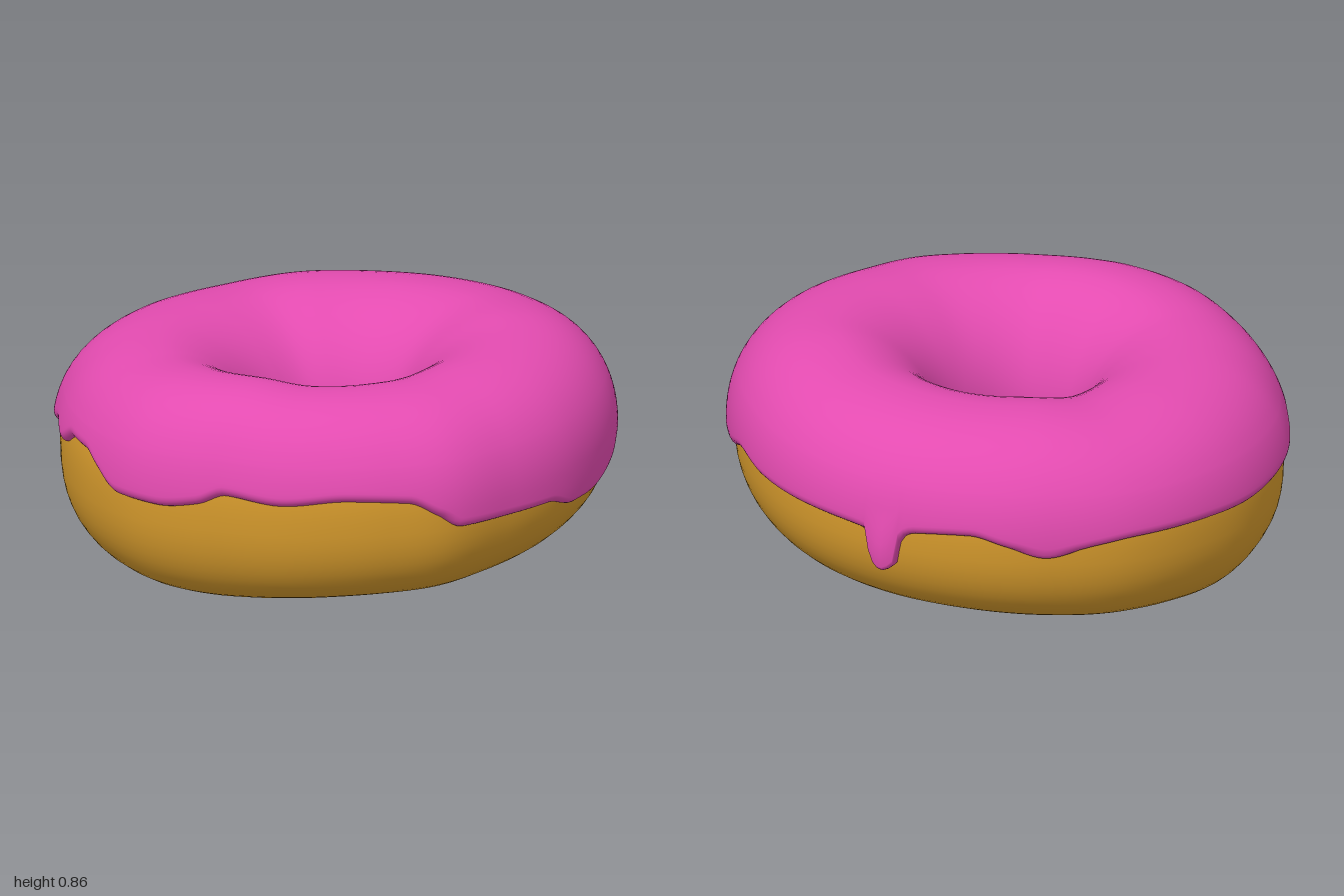
import * as THREE from 'three';

const RAD = Math.PI / 180;
const AROUND = 320;
const THICK = 0.03; // icing thickness
// Superellipse exponents: upper outside, lower outside, hole side
const OUT_EXP = 2.2, LOW_EXP = 2.4, IN_EXP = 1.87;

// Smooth periodic curve through [degrees, value] pairs without overshoot
function around(points) {
  const n = points.length;
  const at = (i) => {
    const k = ((i % n) + n) % n;
    return [points[k][0] + 360 * Math.floor(i / n), points[k][1]];
  };
  const slope = (i) => (at(i + 1)[1] - at(i)[1]) / (at(i + 1)[0] - at(i)[0]);
  const tangent = (i) => {
    const a = slope(i - 1), b = slope(i);
    return a * b <= 0 ? 0 : (2 * a * b) / (a + b);
  };
  return (deg) => {
    let i = -1;
    while (at(i + 1)[0] <= deg) i++;
    const [x0, y0] = at(i), [x1, y1] = at(i + 1);
    const d = x1 - x0, t = (deg - x0) / d, u = 1 - t;
    return y0 * (1 + 2 * t) * u * u + d * tangent(i) * t * u * u
      + y1 * t * t * (3 - 2 * t) - d * tangent(i + 1) * t * t * u;
  };
}

// Degrees run from +x (0) through the front, +z (90)
const outerRadius = around([[0, 1], [20, 1.003], [38, 0.995], [52, 1.01], [66, 0.985], [78, 0.97],
  [90, 0.963], [101, 0.957], [110, 0.975], [127, 1], [140, 0.993], [155, 0.987], [166, 0.988],
  [180, 1], [198, 0.997], [212, 0.99], [230, 0.983], [250, 0.96], [270, 0.95], [290, 0.96],
  [310, 0.973], [330, 0.98]]);
const holeRadius = around([[0, 0.25], [44, 0.268], [90, 0.305], [123, 0.287], [155, 0.237],
  [180, 0.195], [204, 0.17], [250, 0.165], [292, 0.19], [330, 0.234]]);
const bottomY = around([[0, 0.15], [45, 0.1], [75, 0.08], [90, 0.065], [105, 0.047], [122, 0.037],
  [150, 0.03], [180, 0.015], [197, 0], [215, 0.02], [240, 0.045], [270, 0.075],
  [300, 0.1], [330, 0.13]]);
const topY = around([[0, 0.86], [30, 0.845], [50, 0.83], [85, 0.82], [105, 0.832], [125, 0.82],
  [150, 0.8], [180, 0.8], [203, 0.797], [225, 0.79], [250, 0.81], [270, 0.815], [315, 0.84],
  [345, 0.865]]);
// Height of the icing's dripping outer edge
const edgeY = around([[0, 0.41], [14, 0.365], [20, 0.365], [28, 0.4], [51, 0.4], [56, 0.45],
  [62, 0.5], [75, 0.51], [90, 0.485], [102, 0.5], [108, 0.46], [118, 0.43], [128, 0.43],
  [136, 0.485], [142, 0.52], [150, 0.52], [157, 0.47], [163, 0.5], [172, 0.46], [186, 0.43],
  [200, 0.42], [215, 0.43], [230, 0.435], [240, 0.42], [250, 0.385], [259, 0.43], [267, 0.465],
  [279, 0.455], [282, 0.43], [283.5, 0.33], [286, 0.31], [288.5, 0.33], [290.5, 0.44],
  [298, 0.455], [322, 0.475], [333, 0.5], [342, 0.46], [354, 0.45]]);
// Height of the icing's edge inside the hole
const innerEdgeY = around([[45, 0.45], [100, 0.39], [180, 0.38], [340, 0.39]]);

const sPow = (v, p) => Math.sign(v) * Math.abs(v) ** p;

// Dough cross-section at an angle around the ring
function section(deg) {
  const hole = holeRadius(deg) + THICK;
  const outer = outerRadius(deg) - THICK;
  const top = topY(deg) - THICK, low = bottomY(deg);
  return { a: deg * RAD, r: (hole + outer) / 2, w: (outer - hole) / 2, y: (top + low) / 2, h: (top - low) / 2 };
}

const exponent = (outside, above) => (!outside ? IN_EXP : above ? OUT_EXP : LOW_EXP);

// Point on the section, raised off the dough by lift; theta 0 is outermost, 90 degrees is the top
function place(s, theta, lift) {
  const c = Math.cos(theta), n = Math.sin(theta);
  const p = 2 / exponent(c > 0, n > 0);
  const r = s.r + (s.w + lift) * sPow(c, p);
  const y = s.y + (s.h + lift) * sPow(n, p);
  return [r * Math.cos(s.a), y, r * Math.sin(s.a)];
}

// Angle on the section at a given height
function thetaAt(s, y, outside) {
  const v = (y - s.y) / s.h;
  return Math.asin(THREE.MathUtils.clamp(sPow(v, exponent(outside, v > 0) / 2), -0.95, 0.95));
}

// Skin a closed ring of cross-sections
function ring(rows, closed, point) {
  const pos = [], index = [];
  for (let i = 0; i < AROUND; i++) {
    const deg = (i / AROUND) * 360, s = section(deg);
    for (let j = 0; j < rows; j++) pos.push(...point(s, deg, j));
    const next = (i + 1) % AROUND;
    for (let j = 0; j < (closed ? rows : rows - 1); j++) {
      const k = (j + 1) % rows;
      const A = i * rows + j, B = i * rows + k, C = next * rows + j, D = next * rows + k;
      index.push(A, B, C, B, D, C);
    }
  }
  const g = new THREE.BufferGeometry();
  g.setAttribute('position', new THREE.Float32BufferAttribute(pos, 3));
  g.setIndex(index);
  g.computeVertexNormals();
  return g;
}

export function createModel() {
  const doughColor = new THREE.MeshStandardMaterial({ color: 0xd4992c });
  doughColor.name = 'goldenDough';
  const icingColor = new THREE.MeshStandardMaterial({ color: 0xe34bb0, side: THREE.DoubleSide });
  icingColor.name = 'pinkIcing';

  // Dough ring
  const dough = new THREE.Mesh(
    ring(56, true, (s, deg, j) => place(s, (j / 56) * Math.PI * 2, 0)), doughColor);
  dough.name = 'dough';

  // Icing shell: rounded lips at both edges, a skirt that follows the drips, and an even cap
  const LIP = 6, SKIRT = 8, CAP = 28, LAST = 2 * LIP + SKIRT + CAP;
  const lip = 0.08, shoulder = 0.5;
  const icing = new THREE.Mesh(ring(LAST + 1, false, (s, deg, j) => {
    const start = thetaAt(s, edgeY(deg), true);
    const end = Math.PI - thetaAt(s, innerEdgeY(deg), false);
    const q = Math.min(Math.min(j, LAST - j) / LIP, 1) * Math.PI / 2;
    const inset = lip * (1 - Math.cos(q));
    let theta;
    if (j <= LIP) theta = start + inset;
    else if (j >= LAST - LIP) theta = end - inset;
    else if (j <= LIP + SKIRT) theta = THREE.MathUtils.lerp(start + lip, shoulder, (j - LIP) / SKIRT);
    else theta = THREE.MathUtils.lerp(shoulder, end - lip, (j - LIP - SKIRT) / CAP);
    // the long drip at the back stands out a little
    const drip = 0.025 * Math.exp(-(((deg - 286) / 3) ** 2))
      * (1 - THREE.MathUtils.smoothstep(theta, -0.15, 0.2));
    return place(s, theta, (THICK + drip + 0.004) * Math.sin(q) - 0.004);
  }), icingColor);
  icing.name = 'icing';

  const model = new THREE.Group();
  model.name = 'doughnut';
  model.add(dough, icing);
  return model;
}
